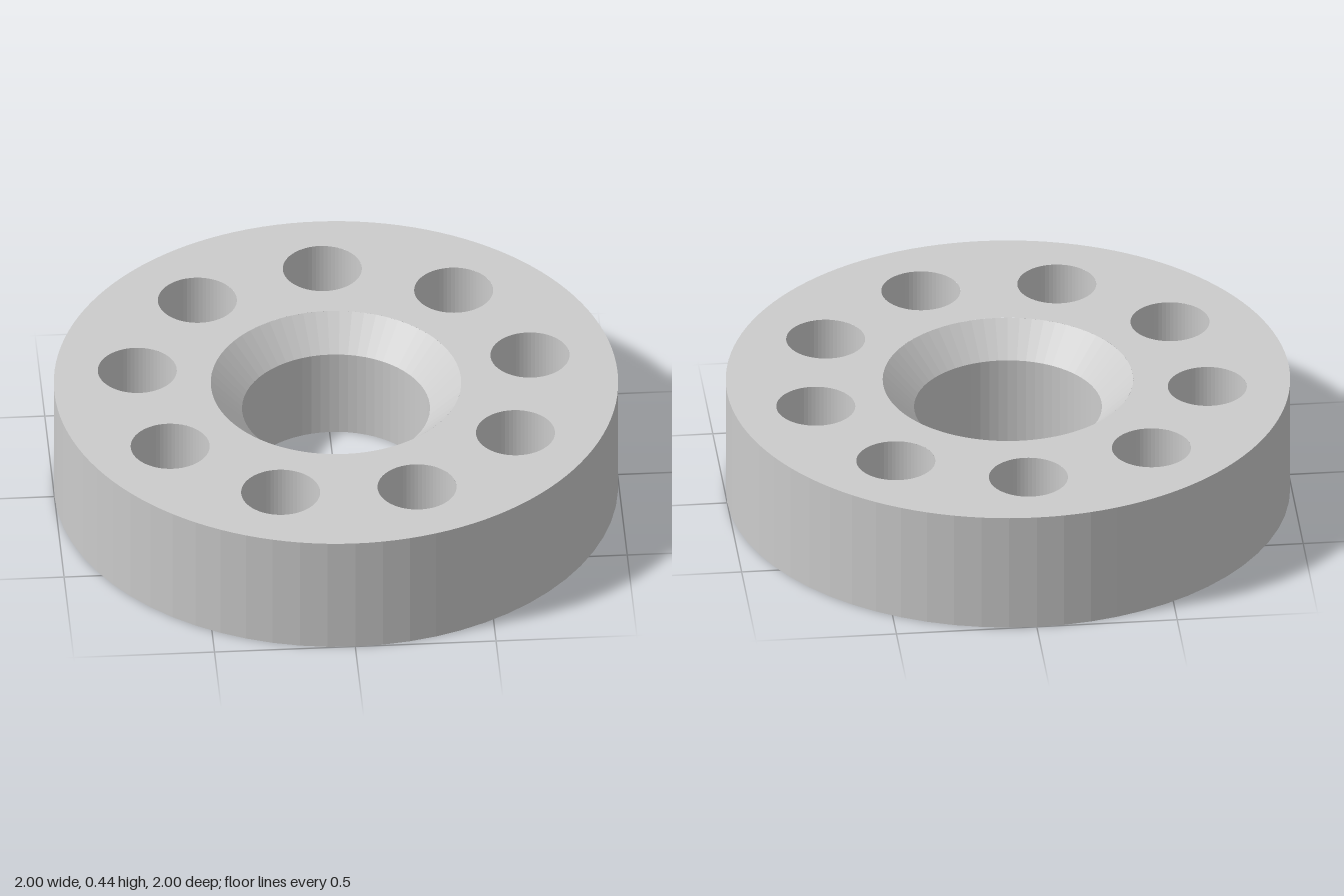
import * as THREE from 'three';

const HEIGHT = 0.445, OUTER = 1, BORE = 0.333, RIM = 0.444;
const HOLES = 9, HOLE_R = 0.14, HOLE_RING = 0.708, HOLE_DEPTH = 0.333;
const SEG = 64;

export function createModel() {
  const group = new THREE.Group();
  group.name = 'ring';
  const mat = new THREE.MeshStandardMaterial({ color: 0xcccccc, flatShading: true });
  const inside = mat.clone();
  inside.side = THREE.BackSide;

  const add = (name, geometry, material = mat, x = 0, y = 0, z = 0) => {
    const mesh = new THREE.Mesh(geometry, material);
    mesh.name = name;
    mesh.position.set(x, y, z);
    group.add(mesh);
  };

  // Countersink, bore, underside and outer wall in one revolved profile
  const profile = [
    [RIM, HEIGHT], [BORE, HEIGHT - (RIM - BORE)], [BORE, 0], [OUTER, 0], [OUTER, HEIGHT],
  ].map(([r, y]) => new THREE.Vector2(r, y));
  add('body', new THREE.LatheGeometry(profile, SEG));

  // Top face pierced by the countersink and the ring of pockets
  const circle = (path, x, y, r) => path.absarc(x, y, r, 0, Math.PI * 2, false);
  const top = circle(new THREE.Shape(), 0, 0, OUTER);
  top.holes.push(circle(new THREE.Path(), 0, 0, RIM));

  // Blind round pockets, the first one at the back
  const wall = new THREE.CylinderGeometry(HOLE_R, HOLE_R, HOLE_DEPTH, SEG, 1, true);
  const floor = new THREE.CircleGeometry(HOLE_R, SEG).rotateX(-Math.PI / 2);
  for (let i = 0; i < HOLES; i++) {
    const a = Math.PI / 2 + (i * Math.PI * 2) / HOLES;
    const x = HOLE_RING * Math.cos(a), y = HOLE_RING * Math.sin(a);
    top.holes.push(circle(new THREE.Path(), x, y, HOLE_R));
    add('pocketWall', wall, inside, x, HEIGHT - HOLE_DEPTH / 2, -y);
    add('pocketFloor', floor, mat, x, HEIGHT - HOLE_DEPTH, -y);
  }
  add('topFace', new THREE.ShapeGeometry(top, SEG).rotateX(-Math.PI / 2), mat, 0, HEIGHT, 0);

  return group;
}
